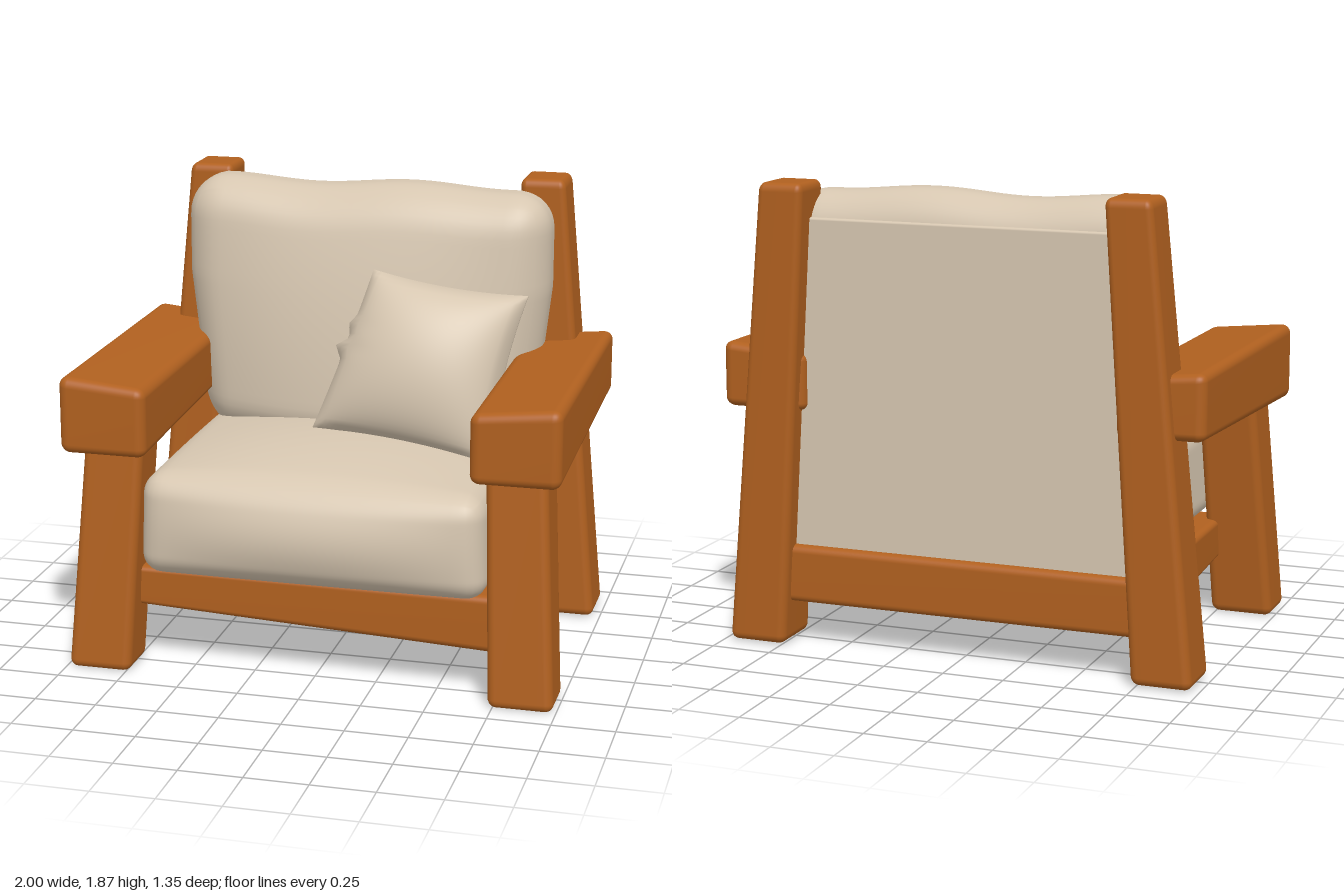
import * as THREE from 'three';
import { mergeVertices } from 'three/addons/utils/BufferGeometryUtils.js';
import { RoundedBoxGeometry } from 'three/addons/geometries/RoundedBoxGeometry.js';

const lerp = THREE.MathUtils.lerp;

// Moves each vertex by rule(u, v, w), its 0..1 place in the bounding box, then smooths.
function warp(geometry, rule) {
  geometry.deleteAttribute('normal');
  geometry.deleteAttribute('uv');
  geometry.clearGroups();
  const g = mergeVertices(geometry, 1e-5);
  g.computeBoundingBox();
  const { min } = g.boundingBox;
  const size = g.boundingBox.getSize(new THREE.Vector3());
  const p = g.attributes.position;
  for (let i = 0; i < p.count; i++) {
    p.setXYZ(i, ...rule(
      (p.getX(i) - min.x) / size.x,
      (p.getY(i) - min.y) / size.y,
      (p.getZ(i) - min.z) / size.z));
  }
  g.computeVertexNormals();
  g.computeBoundingBox();
  g.computeBoundingSphere();
  return g;
}

// Finely divided box with generously rounded edges, for cushions.
function softBox(w, h, d, r) {
  const g = new THREE.BoxGeometry(w, h, d, 44, 32, 32);
  const lim = new THREE.Vector3(w / 2 - r, h / 2 - r, d / 2 - r);
  const low = lim.clone().negate();
  const p = g.attributes.position;
  const v = new THREE.Vector3();
  for (let i = 0; i < p.count; i++) {
    v.fromBufferAttribute(p, i);
    const inner = v.clone().clamp(low, lim);
    v.sub(inner).setLength(r).add(inner);
    p.setXYZ(i, v.x, v.y, v.z);
  }
  return g;
}

// Upright beam between two rectangles [x0, x1, z0, z1] at heights y0 and y1.
function beam(y0, y1, a, b, r) {
  const base = new RoundedBoxGeometry(a[1] - a[0], y1 - y0, a[3] - a[2], 4, r);
  return warp(base, (u, v, w) => [
    lerp(lerp(a[0], a[1], u), lerp(b[0], b[1], u), v),
    lerp(y0, y1, v),
    lerp(lerp(a[2], a[3], w), lerp(b[2], b[3], w), v)]);
}

// Rectangle on the given side of the chair.
const onSide = (s, x0, x1, z0, z1) => (s > 0 ? [x0, x1, z0, z1] : [-x1, -x0, z0, z1]);

export function createModel() {
  const chair = new THREE.Group();
  chair.name = 'armchair';
  const wood = new THREE.MeshStandardMaterial({ color: 0xb0601f });
  wood.name = 'orange wood';
  const fabric = new THREE.MeshStandardMaterial({ color: 0xd6c6b0 });
  fabric.name = 'beige fabric';
  const add = (name, geometry, material) => {
    const mesh = new THREE.Mesh(geometry, material);
    mesh.name = name;
    chair.add(mesh);
  };

  // Legs, posts and armrests on both sides
  for (const s of [1, -1]) {
    const side = s > 0 ? 'left' : 'right';
    add(side + 'FrontLeg', beam(0.01, 0.97,
      onSide(s, 0.73, 0.99, 0.44, 0.66), onSide(s, 0.69, 0.93, 0.32, 0.56), 0.035), wood);
    add(side + 'BackPost', beam(0.015, 1.88,
      onSide(s, 0.73, 0.975, -0.66, -0.41), onSide(s, 0.615, 0.8, -0.67, -0.46), 0.035), wood);
    add(side + 'Armrest', warp(new RoundedBoxGeometry(0.35, 0.3, 1.27, 4, 0.04), (u, v, w) => {
      const inner = s > 0 ? 1 - u : u;
      return [
        s > 0 ? lerp(0.645, 1, u) : lerp(-1, -0.645, u),
        lerp(lerp(0.97, 0.91, w), lerp(1.235, 1.225, w) - 0.035 * inner, v),
        lerp(-0.61, 0.66, w)];
    }), wood);
  }

  // Seat frame, its front lower edge cut at a slant
  add('seatFrame', warp(new RoundedBoxGeometry(1.54, 0.23, 1.14, 4, 0.03), (u, v, w) => [
    lerp(-0.77, 0.77, u),
    lerp(lerp(0.185, lerp(0.26, 0.185, u), w), 0.42, v),
    lerp(-0.61, 0.53, w)]), wood);

  // Seat cushion with a crowned top and a bulging front
  add('seatCushion', warp(softBox(1.4, 0.42, 1.18, 0.09), (u, v, w) => {
    const a = 2 * u - 1;
    const dome = 1 - a * a;
    return [
      a * lerp(0.705, 0.69, v),
      lerp(0.41, 0.83, v) + 0.09 * dome * Math.sin(Math.PI * w) ** 0.7 * v * v,
      lerp(-0.56, 0.61, w) + 0.07 * dome * Math.sin(Math.PI * v) * w * w];
  }), fabric);

  // Back cushion, fuller in the lower middle
  add('backCushion', warp(softBox(1.52, 1.07, 0.36, 0.16), (u, v, w) => {
    const a = 2 * u - 1;
    const half = lerp(0.69, 0.768, Math.min(1, v * 1.6));
    return [
      a * half,
      lerp(0.78, 1.85, v) + 0.012 * v * Math.sin(a * 6 + 0.2),
      lerp(-0.57, -0.23, w) + 0.18 * (1 - a * a) * (1 - v * v) * w];
  }), fabric);

  // Flat upholstered back between the posts
  add('backPanel', beam(0.4, 1.74,
    [-0.78, 0.78, -0.575, -0.535], [-0.67, 0.67, -0.575, -0.535], 0.01), fabric);

  // Throw pillow: pinched corners, leaning back, a small crease on one edge
  const bl = [-0.12, 0.92, 0.08], br = [0.63, 0.83, 0.14];
  const tl = [0.09, 1.55, -0.1], tr = [0.72, 1.47, -0.13];
  const lean = new THREE.Vector3(0.03, 0.33, 0.94).normalize().toArray();
  add('throwPillow', warp(new THREE.BoxGeometry(1, 1, 1, 32, 32, 1), (u, v, w) => {
    const a = 2 * u - 1, b = 2 * v - 1;
    const pu = 0.5 + 0.5 * a * (1 - (a > 0 ? 0.08 : 0.02) * (1 - b * b));
    const pv = 0.5 + 0.5 * b * (1 - 0.06 * (1 - a * a));
    const puff = 0.006 + 0.175 * Math.sqrt((1 - a * a) * (1 - b * b));
    const crease = Math.max(0, -a) ** 8 *
      (Math.exp(-(((b - 0.0) / 0.08) ** 2)) + 0.5 * Math.exp(-(((b - 0.3) / 0.08) ** 2)));
    return lean.map((n, i) =>
      lerp(lerp(bl[i], br[i], pu), lerp(tl[i], tr[i], pu), pv)
      + n * puff * (2 * w - 1) - (i === 1 ? 0 : 0.05 * crease));
  }), fabric);

  return chair;
}
